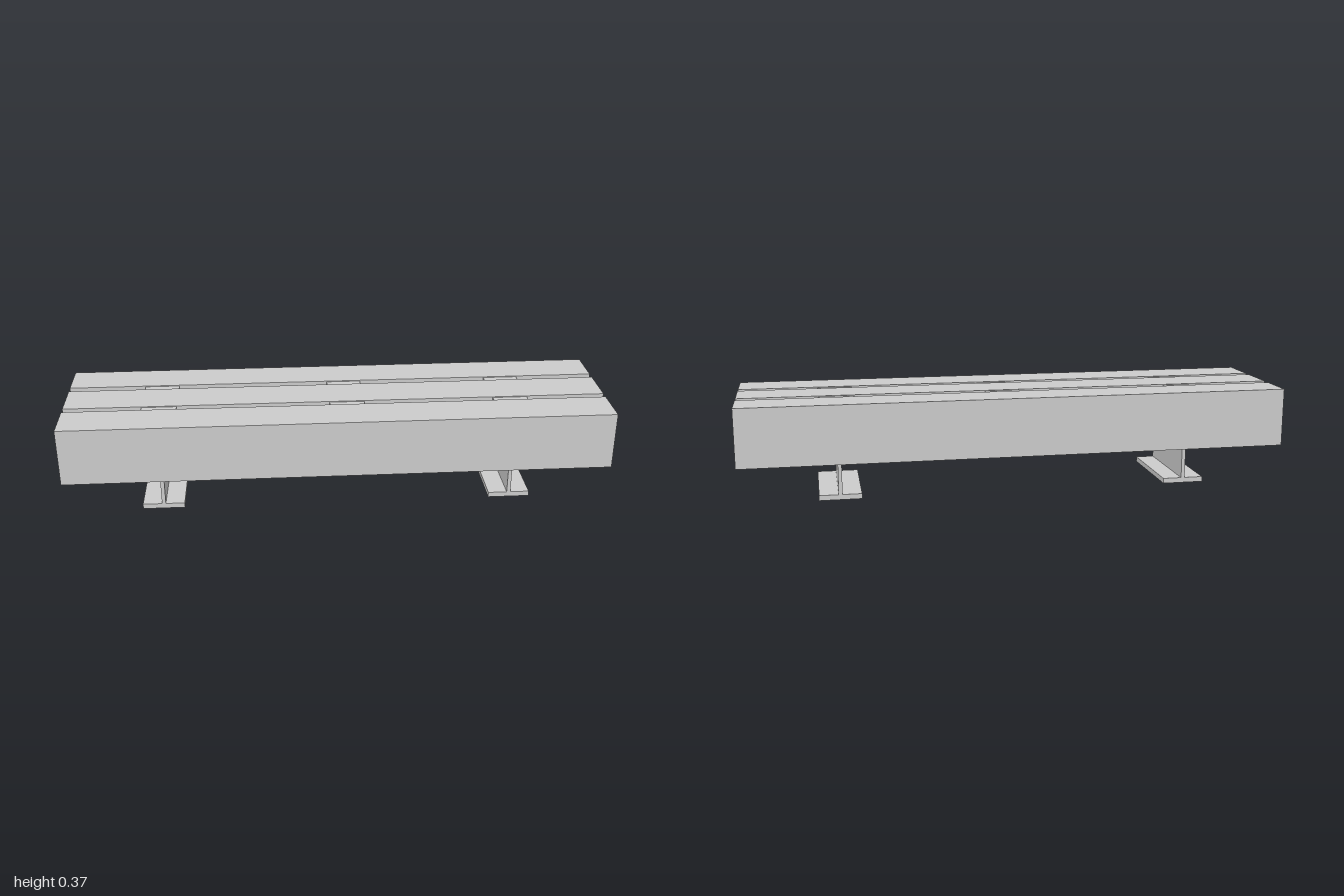
import * as THREE from 'three';

export function createModel() {
  const bench = new THREE.Group();
  bench.name = 'bench';
  const material = new THREE.MeshStandardMaterial({ color: 0xcccccc, flatShading: true });

  // Box given by its limits on each axis
  function block(name, [x0, x1], [y0, y1], [z0, z1], parent = bench) {
    const mesh = new THREE.Mesh(new THREE.BoxGeometry(x1 - x0, y1 - y0, z1 - z0), material);
    mesh.position.set((x0 + x1) / 2, (y0 + y1) / 2, (z0 + z1) / 2);
    mesh.name = name;
    parent.add(mesh);
  }

  // Three long seat beams
  const beams = { frontBeam: [0.104, 0.259], middleBeam: [-0.078, 0.077], backBeam: [-0.257, -0.109] };
  for (const [name, z] of Object.entries(beams)) block(name, [-1, 1], [0.153, 0.367], z);

  // Spacers filling the gaps, joined by a thin strap under the beams
  for (const x of [-0.652, 0.037, 0.645]) {
    const span = [x - 0.064, x + 0.064];
    block('frontSpacer', span, [0.153, 0.364], [0.077, 0.104]);
    block('backSpacer', span, [0.153, 0.364], [-0.109, -0.078]);
    block('strap', span, [0.152, 0.155], [-0.128, 0.126]);
  }

  // Legs: an upright web on a flat foot plate
  for (const [name, x] of [['rightLeg', -0.65], ['leftLeg', 0.643]]) {
    const leg = new THREE.Group();
    leg.name = name;
    bench.add(leg);
    block('web', [x - 0.007, x + 0.007], [0.019, 0.153], [-0.164, 0.183], leg);
    block('footPlate', [x - 0.077, x + 0.077], [0, 0.019], [-0.164, 0.183], leg);
  }

  return bench;
}
